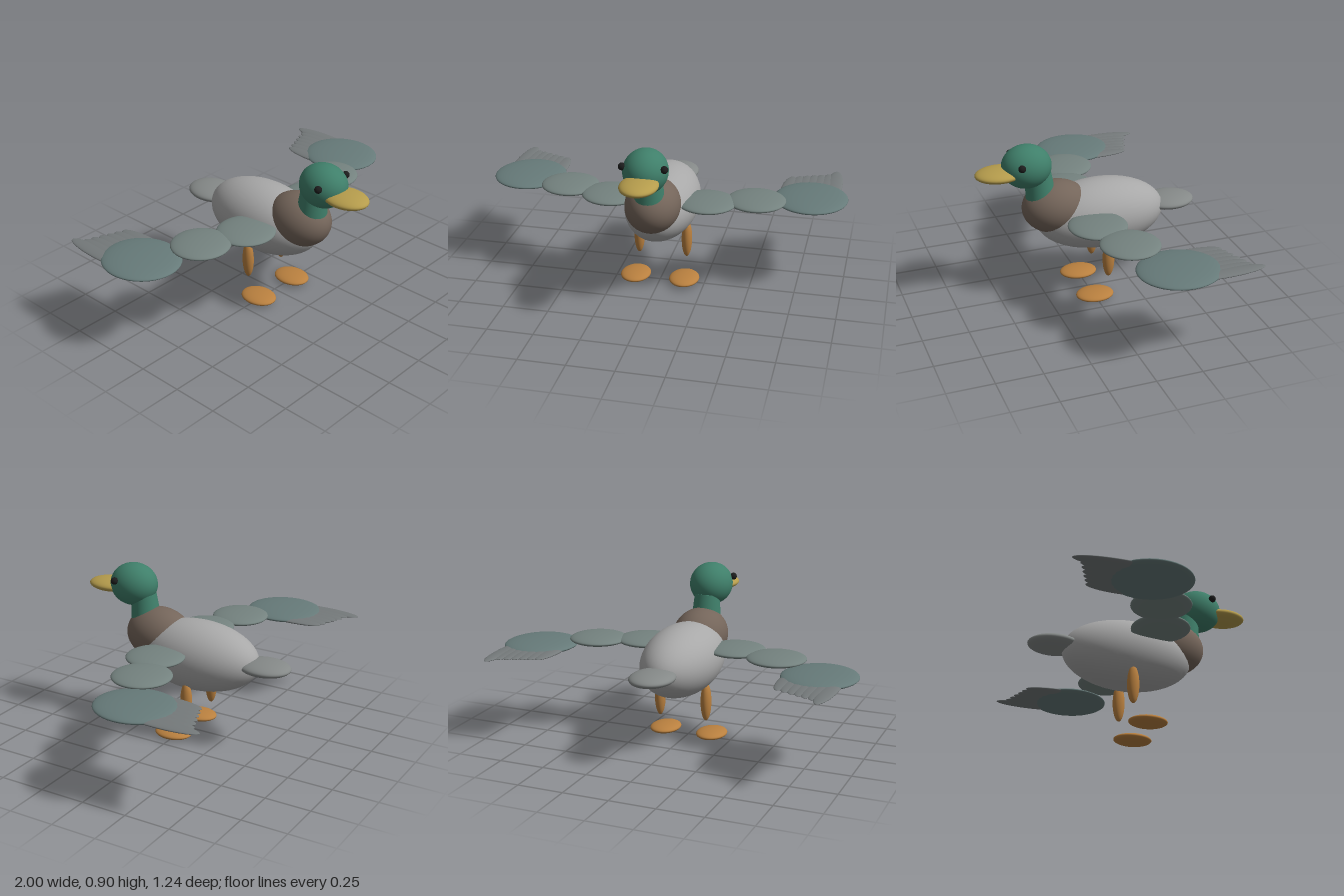
import * as THREE from 'three';

const mat = (color) => new THREE.MeshStandardMaterial({ color });
const grey = mat(0xa8a8a8), tailGrey = mat(0x858988), brown = mat(0x74655a), green = mat(0x3f7f6a);
const yellow = mat(0xb59c4c), orange = mat(0xb9803f), black = mat(0x1c1c1c);
const wingGrey = mat(0x74827f), wingTipGrey = mat(0x667a79), featherGrey = mat(0x74797a);

const sphere = new THREE.SphereGeometry(1, 40, 28);

// Ellipsoid from its centre and three radii
function ellipsoid(name, material, center, radii) {
  const mesh = new THREE.Mesh(sphere, material);
  mesh.name = name;
  mesh.position.set(...center);
  mesh.scale.set(...radii);
  return mesh;
}

// Tapered cylinder between two points
function taper(name, material, from, to, r0, r1) {
  const a = new THREE.Vector3(...from), b = new THREE.Vector3(...to);
  const dir = b.clone().sub(a);
  const mesh = new THREE.Mesh(new THREE.CylinderGeometry(r1, r0, dir.length(), 40), material);
  mesh.name = name;
  mesh.position.copy(a).add(b).multiplyScalar(0.5);
  mesh.quaternion.setFromUnitVectors(new THREE.Vector3(0, 1, 0), dir.normalize());
  return mesh;
}

// Spread wing: three overlapping pads and a row of flight feathers
function wing(s, side) {
  const group = new THREE.Group();
  group.name = side + 'Wing';
  group.add(
    ellipsoid('innerWing', wingGrey, [s * 0.265, 0.51, 0.037], [0.16, 0.028, 0.158]),
    ellipsoid('middleWing', wingGrey, [s * 0.52, 0.51, -0.044], [0.16, 0.028, 0.158]),
    ellipsoid('outerWing', wingTipGrey, [s * 0.8, 0.487, -0.19], [0.2, 0.029, 0.217]),
  );
  const count = 7;
  for (let i = 0; i < count; i++) {
    const x = 0.668 + 0.0395 * i;
    const tip = -0.482 - 0.0155 * i - (i === count - 1 ? 0.035 : 0);
    const length = 0.18 + 0.006 * i;
    group.add(ellipsoid('feather', featherGrey, [s * x, 0.485, tip + length], [0.047, 0.012, length]));
  }
  return group;
}

export function createModel() {
  const model = new THREE.Group();
  model.name = 'duck';

  // Trunk, neck, head and tail
  model.add(
    ellipsoid('body', grey, [0, 0.453, -0.07], [0.2, 0.192, 0.362]),
    ellipsoid('chest', brown, [0, 0.53, 0.18], [0.148, 0.146, 0.187]),
    taper('neck', green, [0, 0.58, 0.262], [0, 0.74, 0.276], 0.085, 0.068),
    ellipsoid('head', green, [0, 0.786, 0.34], [0.118, 0.118, 0.135]),
    ellipsoid('bill', yellow, [0, 0.763, 0.488], [0.1, 0.035, 0.131]),
    ellipsoid('tail', tailGrey, [0, 0.464, -0.475], [0.118, 0.037, 0.145]),
  );

  // Mirrored parts
  for (const [s, side] of [[1, 'left'], [-1, 'right']]) {
    model.add(
      ellipsoid(side + 'Eye', black, [s * 0.11, 0.823, 0.395], [0.02, 0.02, 0.02]),
      wing(s, side),
      ellipsoid(side + 'Leg', orange, [s * 0.135, 0.23, -0.074], [0.029, 0.108, 0.033]),
      ellipsoid(side + 'Foot', orange, [s * 0.138, 0.025, 0.006], [0.083, 0.025, 0.105]),
    );
  }
  return model;
}
